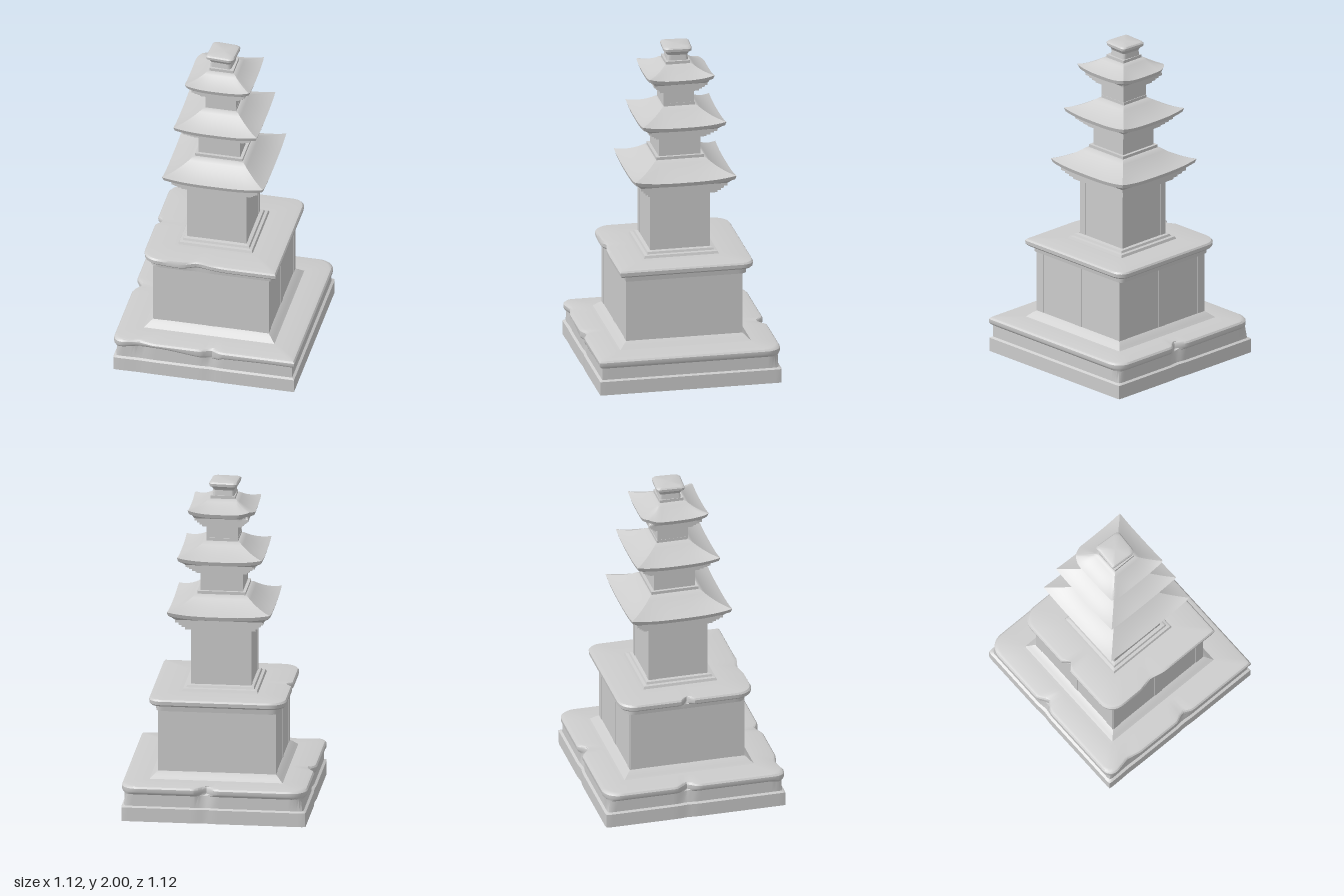
import * as THREE from 'three';
import { toCreasedNormals } from 'three/addons/utils/BufferGeometryUtils.js';

const stone = new THREE.MeshStandardMaterial({ color: 0xcccccc, side: THREE.DoubleSide });
const SIDES = [[0, 1], [1, 0], [0, -1], [-1, 0]]; // outward x,z: front, +x, back, -x

// Point on a worn square; radii are for the corners (-x+z), (+x+z), (+x-z), (-x-z).
function squarePoint(side, t, h, radii) {
  const [nx, nz] = SIDES[side];
  let x = nx * h + nz * t * h, z = nz * h - nx * t * h;
  const r = z > 0 ? (x < 0 ? radii[0] : radii[1]) : (x > 0 ? radii[2] : radii[3]);
  const dx = Math.abs(x) - (h - r), dz = Math.abs(z) - (h - r);
  if (r > 0 && dx > 0 && dz > 0) {
    const k = r / Math.hypot(dx, dz);
    x = Math.sign(x) * (h - r + dx * k);
    z = Math.sign(z) * (h - r + dz * k);
  }
  return [x, z];
}

// Loft of square rows [y, half width, corner lift, wear]; wear scales rounding and dents.
function loft(name, rows, { n = 16, radii = [0, 0, 0, 0], dents = [], sag = null, cap = false, at = [0, 0] } = {}) {
  const pos = [], index = [], count = n * 4;
  for (const [y, h, lift = 0, wear = 0] of rows) {
    for (let j = 0; j < count; j++) {
      let [x, z] = squarePoint(Math.floor(j / n), (j % n) / n * 2 - 1, h, radii.map(r => r * wear));
      const s = Math.min(Math.abs(x), Math.abs(z)) / h;
      let py = y + lift * s ** 3;
      if (sag) py += sag(x, z, y);
      for (const [cx, cz, reach, depth] of dents) {
        const f = Math.max(0, 1 - Math.hypot(x - cx, z - cz) / reach) * depth * wear;
        if (Math.abs(cx) > Math.abs(cz)) x -= Math.sign(cx) * f;
        else z -= Math.sign(cz) * f;
      }
      pos.push(x + at[0], py, z + at[1]);
    }
  }
  for (let i = 0; i < rows.length - 1; i++) {
    for (let j = 0; j < count; j++) {
      const a = i * count + j, b = i * count + (j + 1) % count;
      index.push(a, b, b + count, a, b + count, a + count);
    }
  }
  if (cap) {
    const top = (rows.length - 1) * count, c = pos.length / 3;
    pos.push(at[0], rows[rows.length - 1][0], at[1]);
    for (let j = 0; j < count; j++) index.push(top + j, top + (j + 1) % count, c);
  }
  const g = new THREE.BufferGeometry();
  g.setAttribute('position', new THREE.Float32BufferAttribute(pos, 3));
  g.setIndex(index);
  const mesh = new THREE.Mesh(toCreasedNormals(g, 0.55), stone);
  mesh.name = name;
  return mesh;
}

// Shallow pilasters on all four faces of a square body
function pilasters(name, half, y0, y1, offsets, width, at) {
  const group = new THREE.Group();
  group.name = name;
  for (const [nx, nz] of SIDES) {
    for (const o of offsets) {
      const m = new THREE.Mesh(new THREE.BoxGeometry(nx ? 0.01 : width, y1 - y0, nx ? width : 0.01), stone);
      m.position.set(nx * half + nz * o + at[0], (y0 + y1) / 2, nz * half - nx * o + at[1]);
      m.name = 'pilaster';
      group.add(m);
    }
  }
  return group;
}

// Roof: stepped cornice, thin eave with raised corners, concave slope, small top step
function roof(name, y0, inner, eave, yEave, yTop, top, lift, options) {
  const rows = [[y0, inner]], steps = 4, outer = inner + (eave - inner) * 0.6;
  const yUnder = yEave - 0.012;
  for (let i = 0; i < steps; i++) {
    const h = inner + (outer - inner) * (i + 1) / steps;
    rows.push([y0 + (yUnder - y0) * i / steps + 0.002, h], [y0 + (yUnder - y0) * (i + 1) / steps, h]);
  }
  rows.push([yEave - 0.004, eave - 0.025, lift * 0.6, 0.8], [yEave, eave - 0.008, lift, 1], [yEave + 0.024, eave, lift, 1]);
  for (let i = 1; i <= 8; i++) {
    const t = i / 8;
    rows.push([
      yEave + 0.024 + (yTop - 0.02 - yEave - 0.024) * (0.55 * t + 0.45 * t * t),
      eave + (top + 0.012 - eave) * t, lift * (1 - t) ** 1.5, 1 - t]);
  }
  rows.push([yTop - 0.018, top], [yTop, top], [yTop, top * 0.72]);
  return loft(name, rows, options);
}

export function createModel() {
  const model = new THREE.Group();
  model.name = 'stonePagoda';

  // Hollow base: plinth, recessed band and worn slab with cracks
  model.add(loft('base', [
    [0, 0.555, 0, 0.12], [0.085, 0.555, 0, 0.12], [0.093, 0.54, 0, 0.2], [0.165, 0.54, 0, 0.5],
    [0.175, 0.553, 0, 0.9], [0.185, 0.558, 0, 1], [0.205, 0.558, 0, 1], [0.215, 0.55, 0, 1],
    [0.219, 0.535, 0, 0.9], [0.221, 0.42], [0.222, 0.4], [0.235, 0.385], [0.25, 0.37], [0.262, 0.352],
  ], {
    n: 48, radii: [0.06, 0.005, 0.09, 0.1],
    dents: [[0.05, -0.555, 0.06, 0.055], [-0.555, -0.05, 0.06, 0.045], [0.04, 0.555, 0.06, 0.03], [-0.4, 0.555, 0.09, 0.02]],
    sag: (x, z, y) => (y > 0.16 && y < 0.2 && z > 0.5 ? 0.014 * Math.sin(x * 9 - 2) * (x < 0.1 ? 1 : 0.2) : 0),
  }));

  // Lower body with corner and centre pilasters
  model.add(loft('lowerBody', [[0.26, 0.353], [0.645, 0.353]]));
  model.add(pilasters('lowerPilasters', 0.351, 0.262, 0.645, [-0.325, 0, 0.325], 0.055, [0, 0]));

  // Worn platform slab, finished with a stepped seat for the tower
  model.add(loft('platform', [
    [0.64, 0.352], [0.642, 0.37, 0, 0.5], [0.672, 0.374, 0, 0.6], [0.68, 0.4, 0, 0.9], [0.69, 0.41, 0, 1],
    [0.712, 0.412, 0, 1], [0.722, 0.405, 0, 1], [0.725, 0.39, 0, 0.9], [0.727, 0.24], [0.727, 0.228],
    [0.742, 0.222], [0.745, 0.205], [0.758, 0.2], [0.762, 0.18],
  ], {
    n: 40, radii: [0.1, 0.005, 0.07, 0.1], at: [-0.004, -0.01],
    dents: [[-0.41, 0, 0.035, 0.045], [-0.08, 0.41, 0.09, 0.02]],
    sag: (x, z, y) => (y > 0.66 && y < 0.715 && z > 0.35 ? 0.012 * Math.cos(x * 14) * Math.max(0, 1 - Math.abs(x + 0.1) * 4) : 0),
  }));

  // Three storeys: body and roof
  const axis = [-0.004, -0.02], body1 = [-0.006, -0.012];
  model.add(loft('firstStorey', [[0.755, 0.18], [1.115, 0.18]], { at: body1 }));
  model.add(pilasters('firstStoreyPilasters', 0.178, 0.762, 1.115, [-0.158, 0.158], 0.044, body1));
  model.add(roof('firstRoof', 1.11, 0.195, 0.31, 1.198, 1.335, 0.145, 0.022, { at: axis, radii: [0, 0.01, 0, 0] }));
  model.add(loft('secondStorey', [[1.33, 0.127], [1.455, 0.127]], { at: axis }));
  model.add(roof('secondRoof', 1.45, 0.137, 0.255, 1.527, 1.655, 0.095, 0.02, { at: [-0.004, -0.025] }));
  model.add(loft('thirdStorey', [[1.645, 0.094], [1.735, 0.094]], { at: [-0.004, -0.022] }));
  model.add(roof('thirdRoof', 1.73, 0.105, 0.2, 1.806, 1.912, 0.074, 0.022, {
    n: 24, at: [-0.005, -0.022], radii: [0.02, 0.015, 0.005, 0.1],
  }));

  // Finial block, slightly twisted
  const finial = loft('finial', [
    [1.9, 0.066, 0, 0.7], [1.945, 0.062, 0, 0.7], [1.96, 0.07, 0, 0.9], [1.972, 0.084, 0, 1],
    [1.988, 0.086, 0, 1], [1.996, 0.08, 0, 1], [2.0, 0.068, 0, 1],
  ], { n: 24, cap: true, radii: [0.015, 0.03, 0.025, 0.02] });
  finial.position.set(-0.01, 0, -0.026);
  finial.rotation.y = -0.06;
  model.add(finial);
  return model;
}
